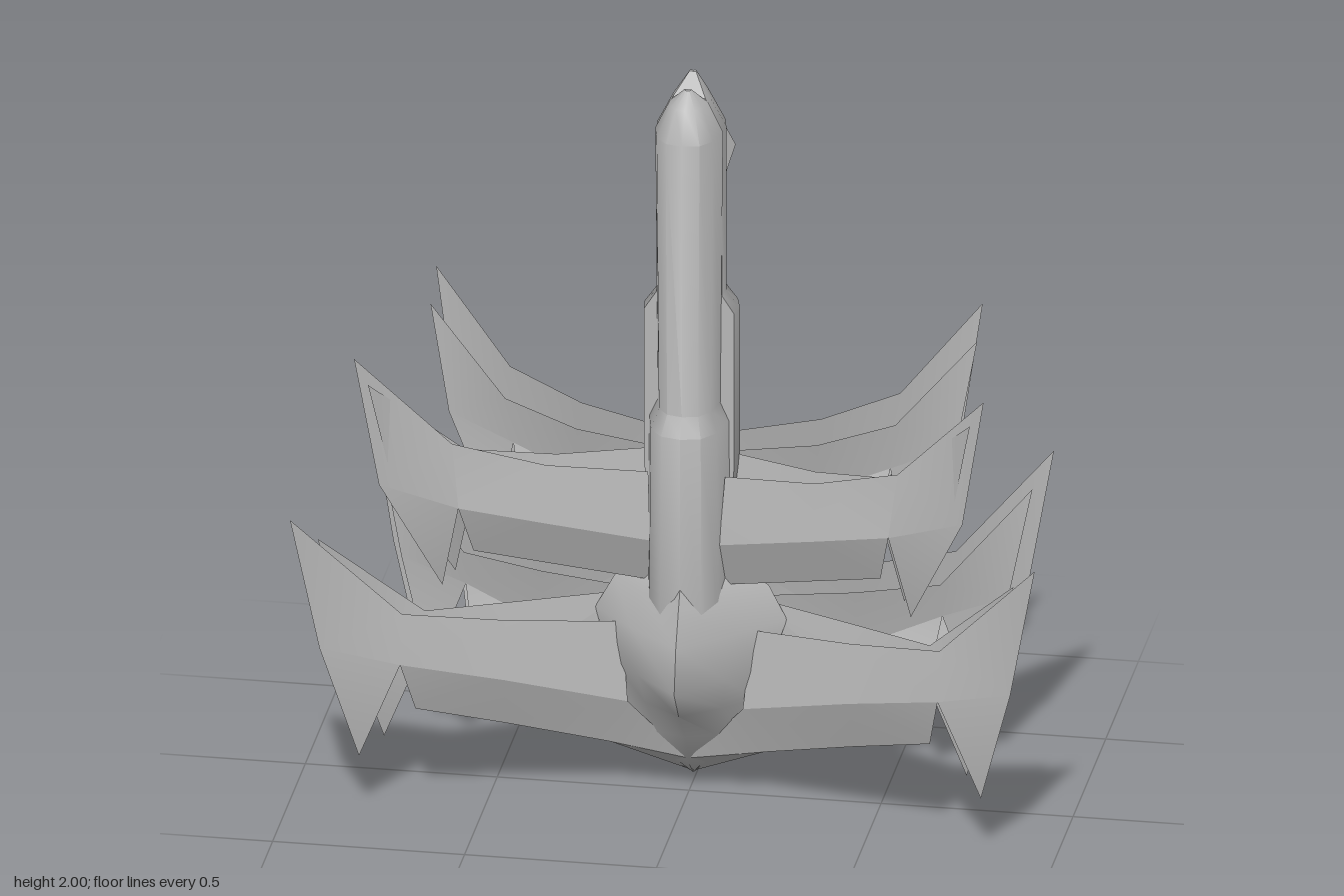
import * as THREE from 'three';
import { toCreasedNormals } from 'three/addons/utils/BufferGeometryUtils.js';

const grey = new THREE.MeshStandardMaterial({ color: 0xb6b6b6, side: THREE.DoubleSide });
grey.name = 'hull grey';

function fromTriangles(points, crease = 0.45) {
  const g = new THREE.BufferGeometry();
  g.setAttribute('position', new THREE.Float32BufferAttribute(points.flat(), 3));
  g.computeVertexNormals();
  return toCreasedNormals(g, crease);
}

// Skins closed rings of [x, y, z] listed from top to bottom.
function loft(rings, crease) {
  const tris = [];
  const n = rings[0].length;
  for (let r = 0; r < rings.length - 1; r++) {
    for (let i = 0; i < n; i++) {
      const j = (i + 1) % n;
      const [a, b, c, d] = [rings[r][i], rings[r + 1][i], rings[r + 1][j], rings[r][j]];
      tris.push(a, b, c, a, c, d);
    }
  }
  // end caps
  for (let i = 1; i < n - 1; i++) {
    const t = rings[0], b = rings[rings.length - 1];
    tris.push(t[0], t[i], t[i + 1], b[0], b[i + 1], b[i]);
  }
  return fromTriangles(tris, crease);
}

// Mirrors a half outline [x, z] whose first and last points lie on x = 0.
function fullOutline(half) {
  return [...half, ...half.slice(1, -1).reverse().map(([x, z]) => [-x, z])];
}

// rows: [y, x scale, z scale, z shift]
function column(half, rows) {
  const outline = fullOutline(half);
  return loft(rows.map(([y, sx, sz, dz]) => outline.map(([x, z]) => [x * sx, y, z * sz + dz])), 0.7);
}

// Wing plates in front elevation [x, y]; every row runs from root to tip.
const PLATES = {
  lower: {
    top: [[0.17, 0.48], [0.45, 0.52], [0.70, 0.57], [0.97, 0.87]],
    fold: [[0.15, 0.27], [0.45, 0.365], [0.70, 0.44], [0.90, 0.5]],
    bottom: [[0.2, 0.14], [0.45, 0.225], [0.67, 0.295]],
    spike: [0.81, 0.17],
  },
  upper: {
    top: [[0.1, 0.91], [0.35, 0.95], [0.58, 1.03], [0.82, 1.29]],
    fold: [[0.09, 0.73], [0.35, 0.80], [0.56, 0.86], [0.76, 0.93]],
    bottom: [[0.09, 0.6], [0.35, 0.67], [0.53, 0.72]],
    spike: [0.61, 0.62],
  },
};

// span: x scale, lift: root top raise, drop: tip lowering, z0/z1: root and tip depth,
// bow: sideways bend, keel: upper and lower point of the strip meeting the centre line
function wingPlate(kind, { span, lift, drop, z0, z1, bow, keel }) {
  const p = PLATES[kind];
  const xr = p.top[0][0], xt = p.top[3][0];
  const out = Math.sign(z1);
  const place = ([x, y], bulge, rise) => {
    const t = Math.max(0, (x - xr) / (xt - xr));
    const z = z0 + (z1 - z0) * t - out * bow * Math.sin(Math.PI * t) + out * bulge;
    return [xr + (x - xr) * span, y + rise * (lift * (1 - t) - drop * t), z];
  };
  const top = p.top.map((q) => place(q, 0, 1));
  const fold = p.fold.map((q, i) => place(q, i === 3 ? -0.005 : 0.03, 0));
  const bottom = p.bottom.map((q) => place(q, -0.015, 0));
  const spike = place(p.spike, out > 0 ? -0.04 : -0.005, -0.5);
  const tris = [];
  for (let i = 0; i < 3; i++) {
    tris.push(top[i], fold[i], fold[i + 1], top[i], fold[i + 1], top[i + 1]);
    if (i < 2) tris.push(fold[i], bottom[i], bottom[i + 1], fold[i], bottom[i + 1], fold[i + 1]);
  }
  tris.push(fold[2], spike, fold[3]);
  if (keel) tris.push(fold[0], keel[0], bottom[0], bottom[0], keel[0], keel[1]);
  return tris;
}

export function createModel() {
  const model = new THREE.Group();
  const add = (name, geometry, parent = model) => {
    const mesh = new THREE.Mesh(geometry, grey);
    mesh.name = name;
    parent.add(mesh);
  };

  // Tower: a front half and a grooved rear half
  add('frontColumn', column(
    [[0, 0.11], [0.045, 0.1], [0.075, 0.065], [0.09, 0.0], [0, 0.0]],
    [[1.98, 0.1, 0.1, 0.015], [1.94, 0.55, 0.6, 0], [1.86, 0.98, 1, 0], [1.1, 0.9, 1, 0],
      [1.05, 1.15, 1.28, 0], [0.55, 1.2, 1.28, 0]]));
  add('rearColumn', column(
    [[0, 0], [0.085, 0], [0.09, -0.04], [0.08, -0.085], [0.04, -0.11], [0, -0.06]],
    [[2.0, 0.1, 0.1, -0.055], [1.95, 0.5, 0.75, 0], [1.86, 1, 1, 0], [1.4, 1, 1, 0],
      [1.35, 1.38, 1.18, 0], [0.92, 1.38, 1.18, 0], [0.75, 1.2, 0.85, 0], [0.45, 0.9, 0.5, 0]]));

  // Prow pod: rows of [y, side x, side z, front z, back z]
  const podRows = [
    [0.65, 0.1, 0.0, 0.13, -0.03],
    [0.58, 0.2, -0.04, 0.165, -0.06],
    [0.49, 0.25, -0.03, 0.205, -0.06],
    [0.37, 0.21, 0.0, 0.23, -0.04],
    [0.28, 0.18, 0.01, 0.16, -0.03],
    [0.18, 0.14, 0.01, 0.06, -0.04],
    [0.08, 0.06, -0.03, 0.0, -0.06],
    [0.03, 0.004, -0.07, -0.06, -0.075],
  ];
  add('prowPod', loft(podRows.map(([y, x, s, f, b]) =>
    fullOutline([[0, f], [x * 0.55, s + (f - s) * 0.5], [x, s], [x * 0.4, b], [0, b]])
      .map(([px, pz]) => [px, y, pz])), 1.1));

  // Rear hook: a thin folded arm ending in a downturned point
  const hookRows = [
    [[0, 1.76, -0.08], [0.065, 1.65, -0.08]],
    [[0, 1.78, -0.25], [0.065, 1.67, -0.23]],
    [[0, 1.74, -0.41], [0.065, 1.68, -0.33]],
    [[0, 1.56, -0.41], [0.002, 1.56, -0.41]],
  ];
  add('rearHook', loft(hookRows.map(([r, e]) =>
    [r, e, [0, r[1] - 0.008, r[2] + 0.004], [-e[0], e[1], e[2]]]), 0.4));

  // Wings: paired plates, mirrored left and right
  const wings = [
    ['frontLowerWing', 'lower', { span: 1, lift: 0, drop: 0, z0: 0.03, z1: 0.41, bow: 0, keel: [[0, 0.1, 0.01], [0, 0.03, -0.07]] }],
    ['frontLowerInnerWing', 'lower', { span: 0.92, lift: 0.045, drop: 0.07, z0: -0.07, z1: 0.36, bow: 0.04 }],
    ['rearLowerWing', 'lower', { span: 0.9, lift: 0.09, drop: 0, z0: -0.12, z1: -0.355, bow: -0.01, keel: [[0, 0.07, -0.11], [0, 0.005, -0.19]] }],
    ['rearLowerInnerWing', 'lower', { span: 0.85, lift: 0.05, drop: 0.07, z0: -0.08, z1: -0.26, bow: 0 }],
    ['frontUpperWing', 'upper', { span: 1, lift: 0, drop: 0, z0: 0.04, z1: 0.31, bow: 0 }],
    ['frontUpperInnerWing', 'upper', { span: 0.95, lift: 0.03, drop: 0.07, z0: -0.05, z1: 0.31, bow: 0.03 }],
    ['rearUpperWing', 'upper', { span: 0.85, lift: 0.06, drop: 0, z0: -0.12, z1: -0.31, bow: 0 }],
    ['rearUpperInnerWing', 'upper', { span: 0.85, lift: 0.03, drop: 0.07, z0: -0.06, z1: -0.225, bow: 0 }],
  ];
  for (const [name, kind, options] of wings) {
    const pair = new THREE.Group();
    pair.name = name + 'Pair';
    const tris = wingPlate(kind, options);
    add(name + 'Left', fromTriangles(tris), pair);
    add(name + 'Right', fromTriangles(tris.map(([x, y, z]) => [-x, y, z])), pair);
    model.add(pair);
  }
  return model;
}
